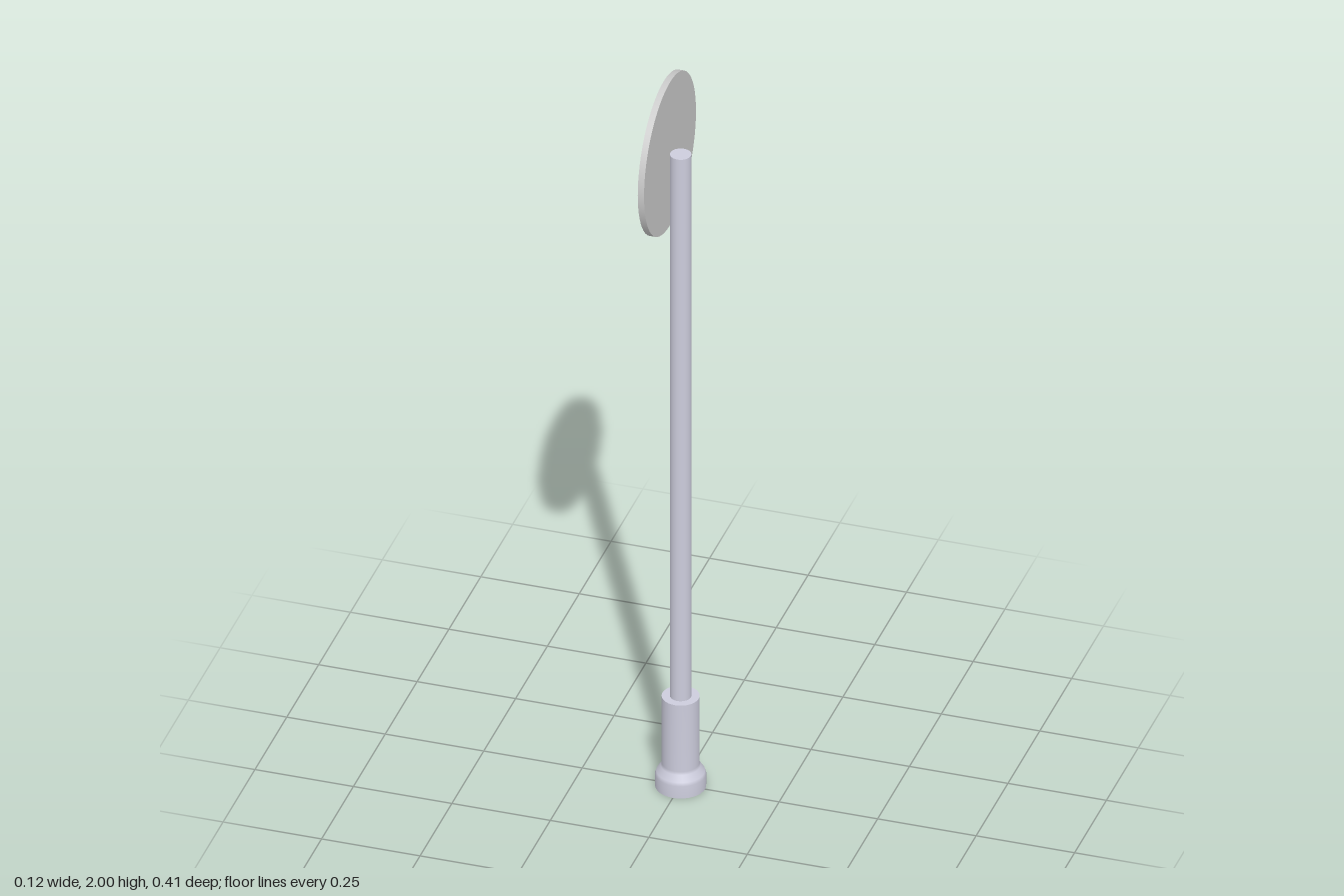
import * as THREE from 'three';

const grey = new THREE.MeshStandardMaterial({ color: 0xcccccc });
const steel = new THREE.MeshStandardMaterial({ color: 0xccccdc });
const red = new THREE.MeshStandardMaterial({ color: 0xff1010 });

const SIGN_Y = 1.796, SIGN_R = 0.204, BACK_X = -0.027, FACE_X = -0.043;
const BAR_W = 0.35, BAR_H = 0.075;

export function createModel() {
  const model = new THREE.Group();
  model.name = 'roadSign';

  const add = (name, geometry, material, parent = model) => {
    const mesh = new THREE.Mesh(geometry, material);
    mesh.name = name;
    parent.add(mesh);
    return mesh;
  };

  // Socket: flared foot with a sloping shoulder; repeated points keep edges sharp
  const profile = [
    [0, 0], [0.062, 0], [0.062, 0], [0.062, 0.034], [0.059, 0.043],
    [0.048, 0.058], [0.046, 0.066], [0.046, 0.255], [0.046, 0.255], [0, 0.255],
  ].map(([r, y]) => new THREE.Vector2(r, y));
  add('base', new THREE.LatheGeometry(profile, 32), steel);

  // Post, rising from the socket to the middle of the sign
  add('pole', new THREE.CylinderGeometry(0.026, 0.026, 1.6, 32), steel).position.y = 1.0;

  // Round plate, its face turned to -x
  const sign = new THREE.Group();
  sign.name = 'sign';
  sign.position.set(FACE_X, SIGN_Y, 0);
  sign.rotation.y = -Math.PI / 2;
  model.add(sign);

  const depth = BACK_X - FACE_X;
  const rim = add('signRim', new THREE.CylinderGeometry(SIGN_R, SIGN_R, depth, 64, 1, true), grey, sign);
  rim.rotation.x = Math.PI / 2;
  rim.position.z = -depth / 2;

  const back = add('signBack', new THREE.CircleGeometry(SIGN_R, 64), grey, sign);
  back.rotation.y = Math.PI;
  back.position.z = -depth;

  // Red face with a slot, filled flush by the pale bar
  const face = new THREE.Shape().absarc(0, 0, SIGN_R, 0, Math.PI * 2);
  const w = BAR_W / 2, h = BAR_H / 2;
  face.holes.push(new THREE.Path([[-w, -h], [-w, h], [w, h], [w, -h]].map(([x, y]) => new THREE.Vector2(x, y))));
  add('signFace', new THREE.ShapeGeometry(face, 32), red, sign);
  add('signBar', new THREE.PlaneGeometry(BAR_W, BAR_H), grey, sign);

  return model;
}
